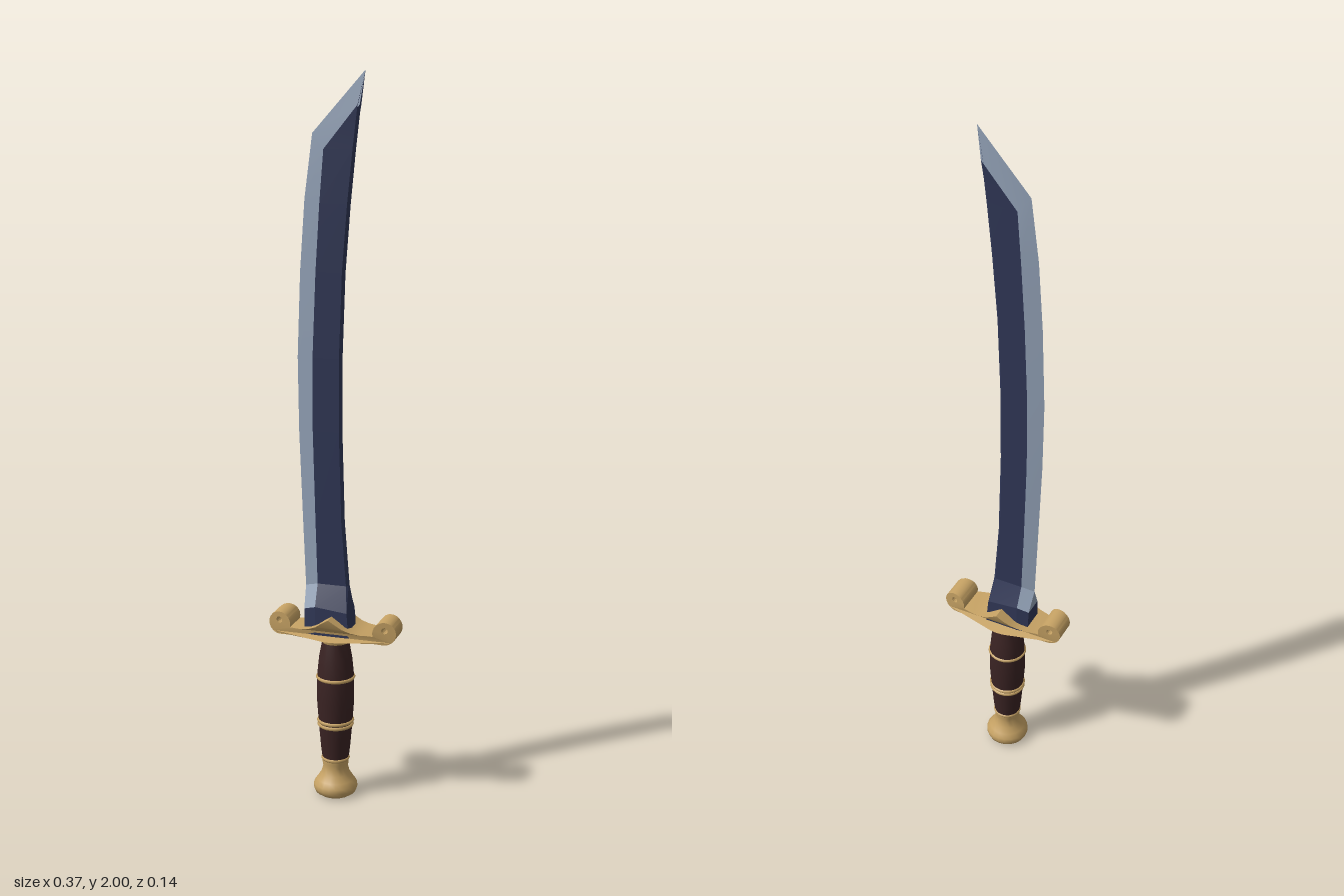
import * as THREE from 'three';
import { toCreasedNormals } from 'three/addons/utils/BufferGeometryUtils.js';

const material = (name, color, extra = {}) => {
  const m = new THREE.MeshStandardMaterial({ color, ...extra });
  m.name = name;
  return m;
};

// Blade stations: edge x,y / bevel x,y / spine x,y / half thickness / edge half thickness
const STATIONS = [
  [-0.080, 0.48, -0.048, 0.48, 0.055, 0.48, 0.039, 0.033],
  [-0.082, 0.55, -0.048, 0.56, 0.049, 0.55, 0.036, 0.028],
  [-0.086, 0.61, -0.049, 0.62, 0.039, 0.62, 0.010, 0],
  [-0.094, 0.80, -0.055, 0.80, 0.025, 0.80, 0.009, 0],
  [-0.104, 1.05, -0.062, 1.05, 0.018, 1.05, 0.009, 0],
  [-0.107, 1.25, -0.062, 1.25, 0.018, 1.25, 0.009, 0],
  [-0.099, 1.48, -0.053, 1.48, 0.026, 1.48, 0.009, 0],
  [-0.086, 1.67, -0.042, 1.66, 0.040, 1.66, 0.009, 0],
  [-0.064, 1.84, -0.031, 1.80, 0.054, 1.80, 0.008, 0],
  [0.080, 2.00, 0.067, 1.913, 0.067, 1.913, 0.007, 0],
  [0.080, 2.00, 0.080, 2.00, 0.080, 2.00, 0, 0],
];

// Eight-sided cross-section: thin edge, bevels, flats and chamfered spine
function section([ex, ey, bx, by, sx, sy, t, e]) {
  const front = [[ex, ey, e], [bx, by, t], [sx - (t ? 0.006 : 0), sy, t], [sx, sy, t * 0.45]];
  const back = front.map(([x, y, z]) => [x, y, -z]).reverse();
  return [...front, ...back];
}

// Collects the blade faces on the chosen sides of the cross-section
function bladeGeometry(wanted) {
  const pos = [];
  for (let s = 0; s < STATIONS.length - 1; s++) {
    const lo = section(STATIONS[s]), hi = section(STATIONS[s + 1]);
    for (let i = 0; i < 8; i++) {
      if (!wanted(s, i)) continue;
      const j = (i + 1) % 8;
      for (const tri of [[lo[i], lo[j], hi[j]], [lo[i], hi[j], hi[i]]]) {
        const [a, b, c] = tri.map((p) => new THREE.Vector3(...p));
        const area = b.clone().sub(a).cross(c.clone().sub(a)).length();
        if (area > 1e-8) pos.push(...tri.flat());
      }
    }
  }
  const g = new THREE.BufferGeometry();
  g.setAttribute('position', new THREE.Float32BufferAttribute(pos, 3));
  g.computeVertexNormals();
  return toCreasedNormals(g, 0.15);
}

// Full guard width in z at distance x from the middle
function guardWidth(x) {
  const steps = [[0, 0.142], [0.02, 0.138], [0.06, 0.114], [0.12, 0.085], [0.184, 0.066]];
  const a = Math.abs(x);
  for (let i = 1; i < steps.length; i++) {
    const [x0, w0] = steps[i - 1], [x1, w1] = steps[i];
    if (a <= x1) return w0 + ((w1 - w0) * (a - x0)) / (x1 - x0);
  }
  return 0.066;
}

function guardGeometry() {
  // Right-hand outline from bottom middle, round the scroll, to the peak
  const half = [[0.02, 0.474], [0.06, 0.474], [0.12, 0.474]];
  for (let i = 0; i <= 18; i++) {
    const a = THREE.MathUtils.degToRad(-100 + i * 16.5);
    half.push([0.151 + 0.0325 * Math.cos(a), 0.504 + 0.0325 * Math.sin(a)]);
  }
  half.push([0.11, 0.496], [0.085, 0.497], [0.06, 0.502], [0.038, 0.512], [0.02, 0.525]);
  const mirrored = half.map(([x, y]) => [-x, y]).reverse();
  const outline = [[0, 0.474], ...half, [0, 0.538], ...mirrored];
  const shape = new THREE.Shape(outline.map(([x, y]) => new THREE.Vector2(x, y)));
  for (const side of [-1, 1]) {
    shape.holes.push(new THREE.Path().absarc(side * 0.152, 0.513, 0.009, 0, Math.PI * 2, true));
  }
  const g = new THREE.ExtrudeGeometry(shape, { depth: 1, bevelEnabled: false, curveSegments: 6 });
  const p = g.attributes.position;
  for (let i = 0; i < p.count; i++) p.setZ(i, (p.getZ(i) - 0.5) * guardWidth(p.getX(i)));
  g.computeVertexNormals();
  return toCreasedNormals(g, 0.5);
}

// Turned part from [radius, y] pairs listed bottom to top
const turned = (points) => toCreasedNormals(
  new THREE.LatheGeometry(points.map(([r, y]) => new THREE.Vector2(r, y)), 20), 0.7);

export function createModel() {
  const navy = material('dark blue steel', 0x2f3655);
  const steel = material('pale edge steel', 0x92a1b6);
  const gold = material('gold', 0xc6a264);
  const brown = material('dark brown grip', 0x3a2323);

  const model = new THREE.Group();
  const add = (name, geometry, mat) => {
    const mesh = new THREE.Mesh(geometry, mat);
    mesh.name = name;
    model.add(mesh);
    return mesh;
  };

  // Blade: pale bevels above the base block, dark everywhere else
  const isEdge = (s, i) => s > 0 && (i === 0 || i === 6 || i === 7);
  add('bladeBody', bladeGeometry((s, i) => !isEdge(s, i)), navy);
  add('bladeEdge', bladeGeometry(isEdge), steel);

  // Guard with scrolled ends, and the collar beneath it
  add('guard', guardGeometry(), gold);
  add('collar', turned([[0, 0.452], [0.037, 0.452], [0.041, 0.462], [0.041, 0.476], [0, 0.476]]), gold);

  // Swelling grip
  add('grip', turned([[0.036, 0.10], [0.041, 0.14], [0.047, 0.21], [0.052, 0.28],
    [0.052, 0.35], [0.046, 0.41], [0.037, 0.458]]), brown);

  // Gold bands round the grip
  for (const [y, r] of [[0.351, 0.050], [0.222, 0.047], [0.210, 0.046], [0.108, 0.035]]) {
    const band = add('gripBand', new THREE.TorusGeometry(r, 0.0055, 6, 24), gold);
    band.rotation.x = Math.PI / 2;
    band.position.y = y;
  }

  // Flared pommel
  add('pommel', turned([[0, 0], [0.045, 0], [0.057, 0.008], [0.062, 0.02], [0.061, 0.032],
    [0.052, 0.045], [0.041, 0.062], [0.035, 0.082], [0.037, 0.095], [0.037, 0.106], [0, 0.106]]), gold);

  return model;
}
